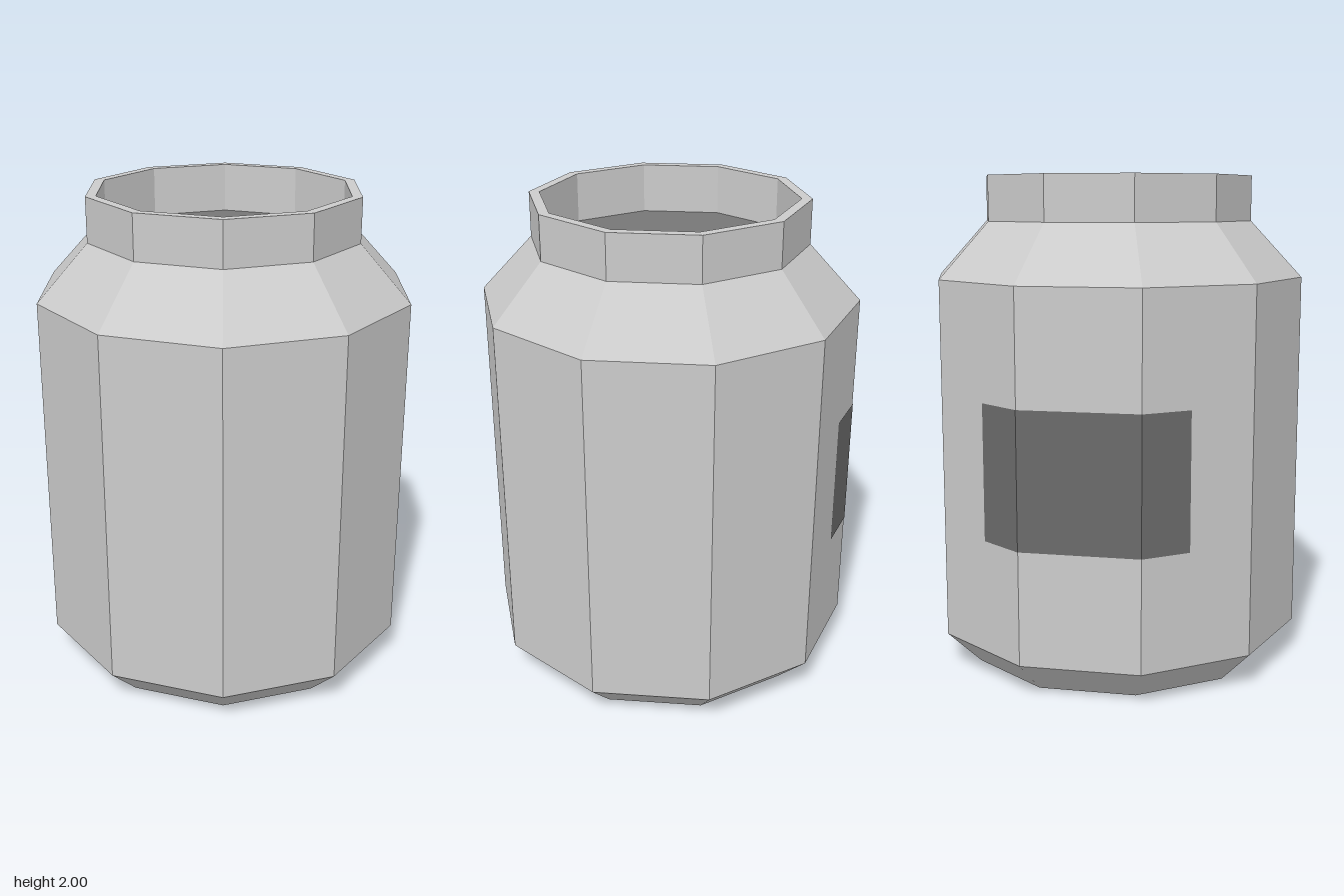
import * as THREE from 'three';

const SIDES = 10;
const BODY_R = 0.766;

const grey = new THREE.MeshStandardMaterial({ color: 0xcccccc, flatShading: true });
const dark = new THREE.MeshStandardMaterial({ color: 0x6b6b6b, flatShading: true });

function addPart(group, name, geometry, material) {
  const mesh = new THREE.Mesh(geometry, material);
  mesh.name = name;
  group.add(mesh);
  return mesh;
}

// Corner of the ten-sided body, counted from the back round the -x side
function corner(k, radius) {
  const a = (k * 2 * Math.PI) / SIDES;
  return new THREE.Vector2(-Math.sin(a) * radius, -Math.cos(a) * radius);
}

// Flat strip that follows the body facets, spilling onto part of both neighbours
function labelGeometry(bottom, top, overlap) {
  const [c1, c2, c3, c4] = [1, 2, 3, 4].map((k) => corner(k, BODY_R + 0.002));
  const path = [c2.clone().lerp(c1, overlap), c2, c3, c3.clone().lerp(c4, overlap)];
  const positions = [];
  for (let i = 0; i < path.length - 1; i++) {
    const a = path[i], b = path[i + 1];
    positions.push(
      a.x, bottom, a.y, b.x, bottom, b.y, b.x, top, b.y,
      a.x, bottom, a.y, b.x, top, b.y, a.x, top, a.y
    );
  }
  const geometry = new THREE.BufferGeometry();
  geometry.setAttribute('position', new THREE.Float32BufferAttribute(positions, 3));
  geometry.computeVertexNormals();
  return geometry;
}

export function createModel() {
  const jar = new THREE.Group();
  jar.name = 'jar';

  // Hollow wall: up the outside, over the rim, down the inside
  const profile = [
    [0.625, 0], [BODY_R, 0.14], [BODY_R, 1.595], [0.557, 1.82], [0.557, 2],
    [0.515, 2], [0.515, 1.8], [0.725, 1.575], [0.725, 0.16], [0.595, 0.04],
  ].map(([r, y]) => new THREE.Vector2(r, y));
  addPart(jar, 'jarWall', new THREE.LatheGeometry(profile, SIDES), grey);

  // Dark floor closing the wall
  const base = addPart(jar, 'base', new THREE.CylinderGeometry(0.625, 0.625, 0.04, SIDES), dark);
  base.position.y = 0.02;

  // Dark label wrapped round the -x side
  addPart(jar, 'label', labelGeometry(0.595, 1.14, 0.43), dark);

  return jar;
}
